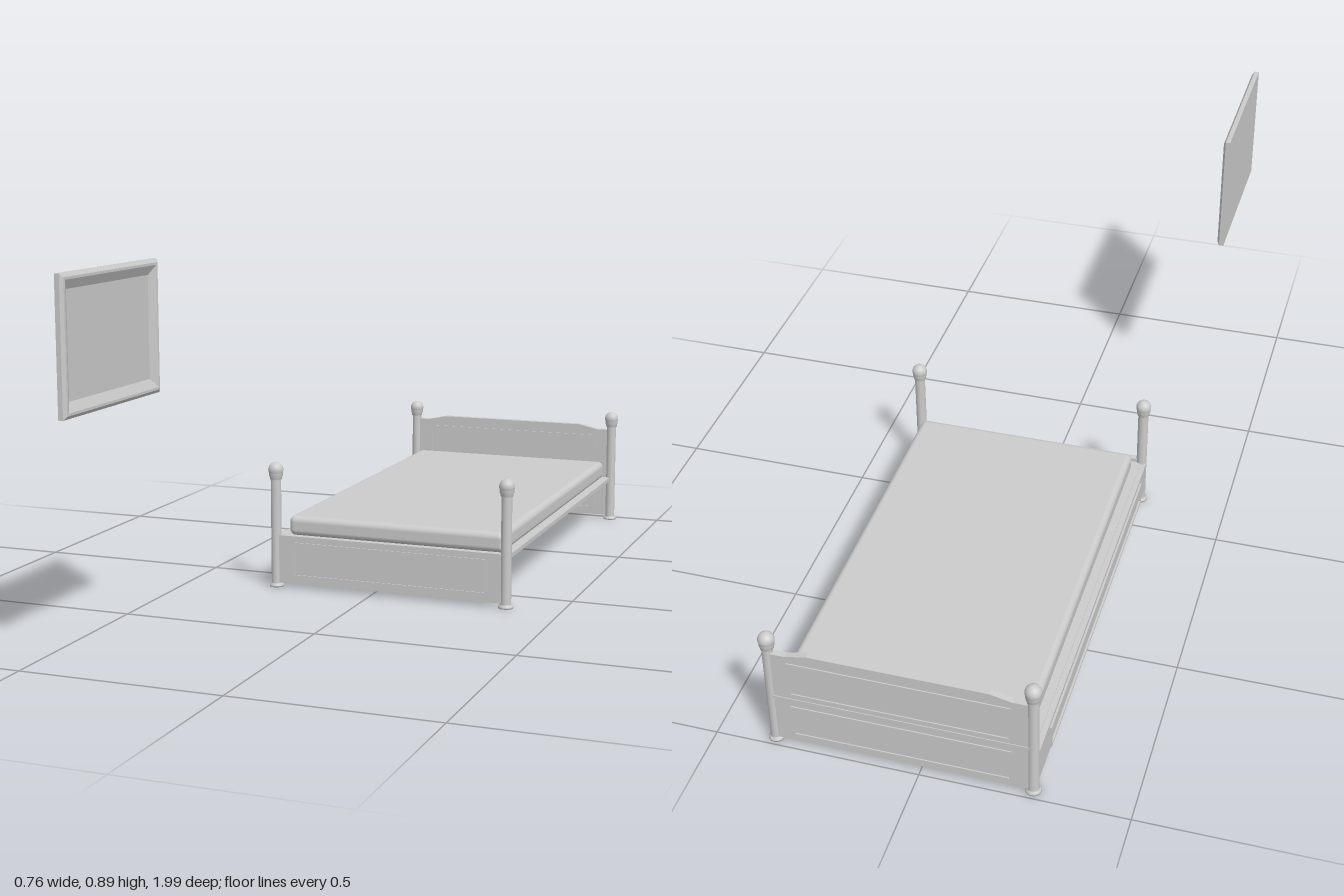
import * as THREE from 'three';
import { RoundedBoxGeometry } from 'three/addons/geometries/RoundedBoxGeometry.js';

const material = new THREE.MeshStandardMaterial({ color: 0xcccccc });

// Bed layout
const X0 = -0.266, X1 = 0.359, XC = (X0 + X1) / 2;
const FOOT_Z = 0.118, HEAD_Z = -0.98;

function add(parent, name, geometry, x = 0, y = 0, z = 0) {
  const mesh = new THREE.Mesh(geometry, material);
  mesh.name = name;
  mesh.position.set(x, y, z);
  parent.add(mesh);
  return mesh;
}

// Box given by its limits on each axis
function boxBetween(parent, name, [xa, xb], [ya, yb], [za, zb]) {
  return add(parent, name, new THREE.BoxGeometry(xb - xa, yb - ya, zb - za),
    (xa + xb) / 2, (ya + yb) / 2, (za + zb) / 2);
}

// Thin rectangular moulding lying in the xy plane, centred on z = 0
function moulding(w, h, depth, border = 0.006) {
  const shape = new THREE.Shape();
  shape.moveTo(-w / 2, -h / 2).lineTo(w / 2, -h / 2).lineTo(w / 2, h / 2).lineTo(-w / 2, h / 2);
  const a = w / 2 - border, b = h / 2 - border;
  const hole = new THREE.Path();
  hole.moveTo(-a, -b).lineTo(-a, b).lineTo(a, b).lineTo(a, -b);
  shape.holes.push(hole);
  return new THREE.ExtrudeGeometry(shape, { depth, bevelEnabled: false }).translate(0, 0, -depth / 2);
}

// Turned post: flared foot, shaft, collar and ball
function postGeometry() {
  const points = [[0, 0], [0.019, 0], [0.019, 0.004], [0.016, 0.008], [0.0135, 0.011],
    [0.0135, 0.283], [0.016, 0.286], [0.016, 0.291], [0.018, 0.294], [0.018, 0.3]];
  for (let i = 0; i <= 10; i++) {
    const t = -0.35 + (i / 10) * (Math.PI / 2 + 0.35);
    points.push([Math.max(0.0198 * Math.cos(t), 0), 0.3095 + 0.0198 * Math.sin(t)]);
  }
  return new THREE.LatheGeometry(points.map(([r, y]) => new THREE.Vector2(r, y)), 24);
}

// Lower board shared by both ends of the bed
function lowerBoard(z) {
  const board = new THREE.Group();
  boxBetween(board, 'lowerBoard', [X0, X1], [0.012, 0.138], [z - 0.008, z + 0.008]);
  add(board, 'lowerPanelMoulding', moulding(0.53, 0.092, 0.022), XC, 0.076, z);
  return board;
}

// Rectangular rim swept through [x, inset] steps, facing +x
function rimGeometry(steps, y0, y1, z0, z1) {
  const loops = steps.map(([x, d]) => [[x, y0 + d, z1 - d], [x, y0 + d, z0 + d],
    [x, y1 - d, z0 + d], [x, y1 - d, z1 - d]]);
  const positions = [];
  for (let i = 0; i < loops.length - 1; i++) {
    for (let j = 0; j < 4; j++) {
      const k = (j + 1) % 4;
      const [a, b, c, d] = [loops[i][j], loops[i][k], loops[i + 1][k], loops[i + 1][j]];
      positions.push(...a, ...b, ...c, ...a, ...c, ...d);
    }
  }
  const geometry = new THREE.BufferGeometry();
  geometry.setAttribute('position', new THREE.Float32BufferAttribute(positions, 3));
  geometry.computeVertexNormals();
  return geometry;
}

export function createModel() {
  const model = new THREE.Group();
  const bed = new THREE.Group();
  bed.name = 'bed';
  model.add(bed);

  // Four corner posts
  const post = postGeometry();
  for (const x of [X0, X1]) for (const z of [FOOT_Z, HEAD_Z + 0.006]) add(bed, 'cornerPost', post, x, 0, z);

  // Footboard
  const footboard = lowerBoard(FOOT_Z);
  footboard.name = 'footboard';
  bed.add(footboard);

  // Headboard: lower board, ledge and raised upper board
  const headZ = HEAD_Z + 0.004;
  const headboard = lowerBoard(headZ);
  headboard.name = 'headboard';
  bed.add(headboard);
  boxBetween(headboard, 'headboardLedge', [X0, X1], [0.138, 0.146], [headZ - 0.01, headZ + 0.01]);
  const outline = new THREE.Shape();
  [[X0, 0.146], [X1, 0.146], [X1, 0.275], [0.315, 0.275], [0.262, 0.287], [-0.168, 0.287],
    [-0.221, 0.275], [X0, 0.275]].forEach(([x, y], i) => (i ? outline.lineTo(x, y) : outline.moveTo(x, y)));
  add(headboard, 'upperBoard',
    new THREE.ExtrudeGeometry(outline, { depth: 0.016, bevelEnabled: false }), 0, 0, headZ - 0.008);
  add(headboard, 'upperPanelMoulding', moulding(0.53, 0.1, 0.022), XC, 0.207, headZ);

  // Single side rail with its panel moulding
  boxBetween(bed, 'sideRail', [-0.28, -0.266], [0.042, 0.127], [HEAD_Z + 0.01, FOOT_Z - 0.004]);
  const railPanel = add(bed, 'railPanelMoulding', moulding(0.925, 0.062, 0.023), -0.2735, 0.085, -0.424);
  railPanel.rotation.y = Math.PI / 2;

  // Base board and mattress
  boxBetween(bed, 'baseBoard', [X0, X1], [0.118, 0.129], [HEAD_Z + 0.01, FOOT_Z - 0.004]);
  add(bed, 'mattress', new RoundedBoxGeometry(0.59, 0.052, 1.036, 4, 0.016), 0.047, 0.154, -0.437);

  // Wall picture: flat backing and bevelled rim sloping in to the recess
  const picture = new THREE.Group();
  picture.name = 'wallPicture';
  model.add(picture);
  boxBetween(picture, 'pictureBacking', [-0.381, -0.374], [0.57, 0.886], [0.557, 1]);
  add(picture, 'pictureRim',
    rimGeometry([[-0.374, 0], [-0.369, 0], [-0.363, 0.008], [-0.363, 0.014], [-0.374, 0.036]], 0.57, 0.886, 0.557, 1));

  return model;
}
